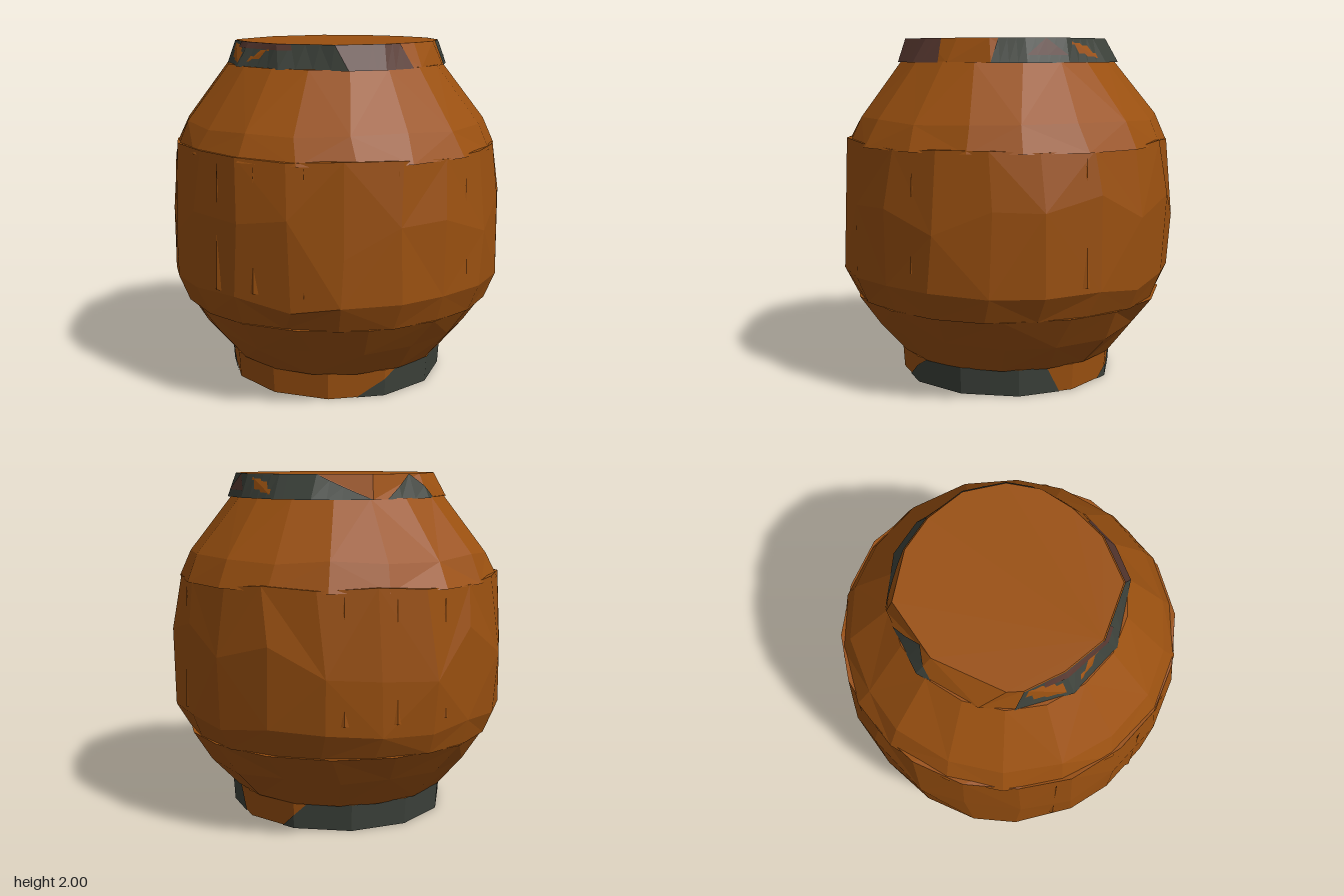
import * as THREE from 'three';

const wood = new THREE.MeshStandardMaterial({ color: 0x9a5010, flatShading: true });
wood.name = 'orangeBrown';
const iron = new THREE.MeshStandardMaterial({ color: 0x3c413a, flatShading: true, side: THREE.DoubleSide });
iron.name = 'darkGrey';
const rust = new THREE.MeshStandardMaterial({ color: 0x56372f, flatShading: true, side: THREE.DoubleSide });
rust.name = 'rustBrown';

// Small seeded generator for the rough hewn surface
let seed = 7;
const rand = () => {
  seed = (seed * 16807) % 2147483647;
  return seed / 2147483647;
};

const toMesh = (name, positions, index, material) => {
  const g = new THREE.BufferGeometry();
  g.setAttribute('position', new THREE.Float32BufferAttribute(positions.flatMap(p => [p.x, p.y, p.z]), 3));
  g.setIndex(index);
  g.computeVertexNormals();
  const mesh = new THREE.Mesh(g, material);
  mesh.name = name;
  return mesh;
};

// Skin closed rings of equal length, bottom to top, and cap both ends
function loft(name, rings, material) {
  const n = rings[0].length;
  const index = [];
  for (let i = 0; i < rings.length - 1; i++) {
    for (let j = 0; j < n; j++) {
      const k = (j + 1) % n;
      const a = i * n + j, b = i * n + k, c = b + n, d = a + n;
      if ((i + j) % 2) index.push(a, b, c, a, c, d);
      else index.push(a, b, d, b, c, d);
    }
  }
  const points = rings.flat();
  const last = (rings.length - 1) * n;
  for (let j = 1; j < n - 1; j++) {
    index.push(0, j + 1, j, last, last + j, last + j + 1);
  }
  return toMesh(name, points, index, material);
}

const ring = (n, y, radius, rough = 0, wave = 0, turn = 0) => Array.from({ length: n }, (_, j) => {
  const a = (j + turn + (rand() - 0.5) * rough * 8) / n * Math.PI * 2;
  const r = radius * (1 + (rand() - 0.6) * rough);
  return new THREE.Vector3(Math.sin(a) * r, y + (rand() - 0.5) * wave, Math.cos(a) * r);
});

// Thin patch lying on the wall between two rings, tapering at either end
function patch(name, low, high, from, to, material, { taperA = 0, taperB = 0, base = 0, lift = 0.006 } = {}) {
  const n = low.length, points = [], index = [];
  const at = (pts, u) => {
    const i = Math.floor(u);
    return pts[i % n].clone().lerp(pts[(i + 1) % n], u - i);
  };
  const steps = Math.round((to - from) * 4);
  for (let s = 0; s <= steps; s++) {
    const u = from + s / 4;
    let t = 1;
    if (taperA) t = Math.min(t, (u - from) / taperA);
    if (taperB) t = Math.min(t, (to - u) / taperB);
    for (const h of [base, base + (1 - base) * t]) {
      const p = at(low, u).lerp(at(high, u), h);
      const out = 1 + lift / Math.hypot(p.x, p.z);
      points.push(new THREE.Vector3(p.x * out, p.y, p.z * out));
    }
    if (s) {
      const a = s * 2 - 2;
      index.push(a, a + 2, a + 3, a, a + 3, a + 1);
    }
  }
  return toMesh(name, points, index, material);
}

export function createModel() {
  const model = new THREE.Group();
  model.name = 'barrel';

  // Foot
  const footLow = ring(12, 0, 0.635), footHigh = ring(12, 0.155, 0.645);
  model.add(loft('foot', [footLow, footHigh], wood));
  model.add(patch('footBandRight', footLow, footHigh, 1.5, 4.75, iron, { taperA: 0.75, taperB: 0.25 }));
  model.add(patch('footBandLeft', footLow, footHigh, 5.75, 10.75, iron, { taperA: 0.5, taperB: 1 }));

  // Lower bowl
  model.add(loft('lowerBowl', [
    ring(16, 0.15, 0.645, 0.015),
    ring(16, 0.33, 0.795, 0.02, 0.03),
    ring(16, 0.505, 0.925, 0.03),
  ], wood));

  // Belly, rough in the middle
  model.add(loft('belly', [
    ring(20, 0.5, 0.915, 0.03),
    ring(20, 0.64, 0.98, 0.025, 0.06),
    ring(20, 1.05, 0.99, 0.025, 0.3),
    ring(20, 1.42, 0.95, 0.025, 0.03),
  ], wood));

  // Shoulder
  model.add(loft('shoulder', [
    ring(18, 1.4, 0.955, 0.02),
    ring(18, 1.55, 0.885, 0.02, 0.03),
    ring(18, 1.87, 0.635, 0.025),
  ], wood));

  // Irregular neck, listed from the front towards +x and around
  const neckHigh = [[0, 0.57], [0.33, 0.5], [0.5, 0.27], [0.56, 0.05], [0.57, -0.15], [0.5, -0.33], [0.33, -0.5],
    [0.1, -0.57], [-0.12, -0.57], [-0.4, -0.46], [-0.55, -0.12], [-0.5, 0.3], [-0.45, 0.37], [-0.25, 0.49]]
    .map(([x, z]) => new THREE.Vector3(x, 2, z));
  const neckLow = [[0.05, 0.63], [0.42, 0.5], [0.55, 0.33], [0.63, 0.08], [0.62, -0.18], [0.54, -0.36], [0.36, -0.53],
    [0.1, -0.65], [-0.12, -0.65], [-0.42, -0.5], [-0.62, -0.17], [-0.61, 0.2], [-0.52, 0.36], [-0.28, 0.57]]
    .map(([x, z]) => new THREE.Vector3(x, 1.865, z));
  model.add(loft('neck', [neckLow, neckHigh], wood));

  // Worn metal band around the neck
  const band = (name, from, to, material, options) =>
    model.add(patch(name, neckLow, neckHigh, from, to, material, options));
  band('neckBandFront', 12, 15, iron);
  band('neckRustFront', 12.5, 14.25, rust, { base: 0.75, lift: 0.009 });
  band('neckRustRight', 15, 16.75, rust, { taperB: 0.25 });
  band('neckBandBack', 4, 9, iron, { taperA: 0.25, taperB: 1 });
  band('neckRustBack', 5, 6, rust, { base: 0.3, taperA: 0.5, taperB: 0.5, lift: 0.009 });
  band('neckBandLeft', 9.25, 10.25, iron, { taperA: 0.5, taperB: 0.5 });

  // Splintered ridges: [angle in degrees, bottom, top]
  const ridges = [[-42, 0.7, 1.39], [-8, 0.68, 1.38], [7, 0.7, 1.39], [24, 0.7, 1.4], [54, 0.68, 1.38], [82, 0.75, 1.3],
    [140, 0.68, 1.38], [205, 0.7, 1.39], [222, 0.7, 1.39], [240, 0.7, 1.38]];
  for (const [deg, low, high] of ridges) {
    const geometry = new THREE.ConeGeometry(0.045, high - low, 4);
    geometry.scale(1, 1, 0.45);
    const ridge = new THREE.Mesh(geometry, wood);
    const a = deg * Math.PI / 180;
    ridge.position.set(Math.sin(a) * 0.955, (low + high) / 2, Math.cos(a) * 0.955);
    ridge.rotation.y = a;
    ridge.name = 'splinterRidge';
    model.add(ridge);
  }
  return model;
}
